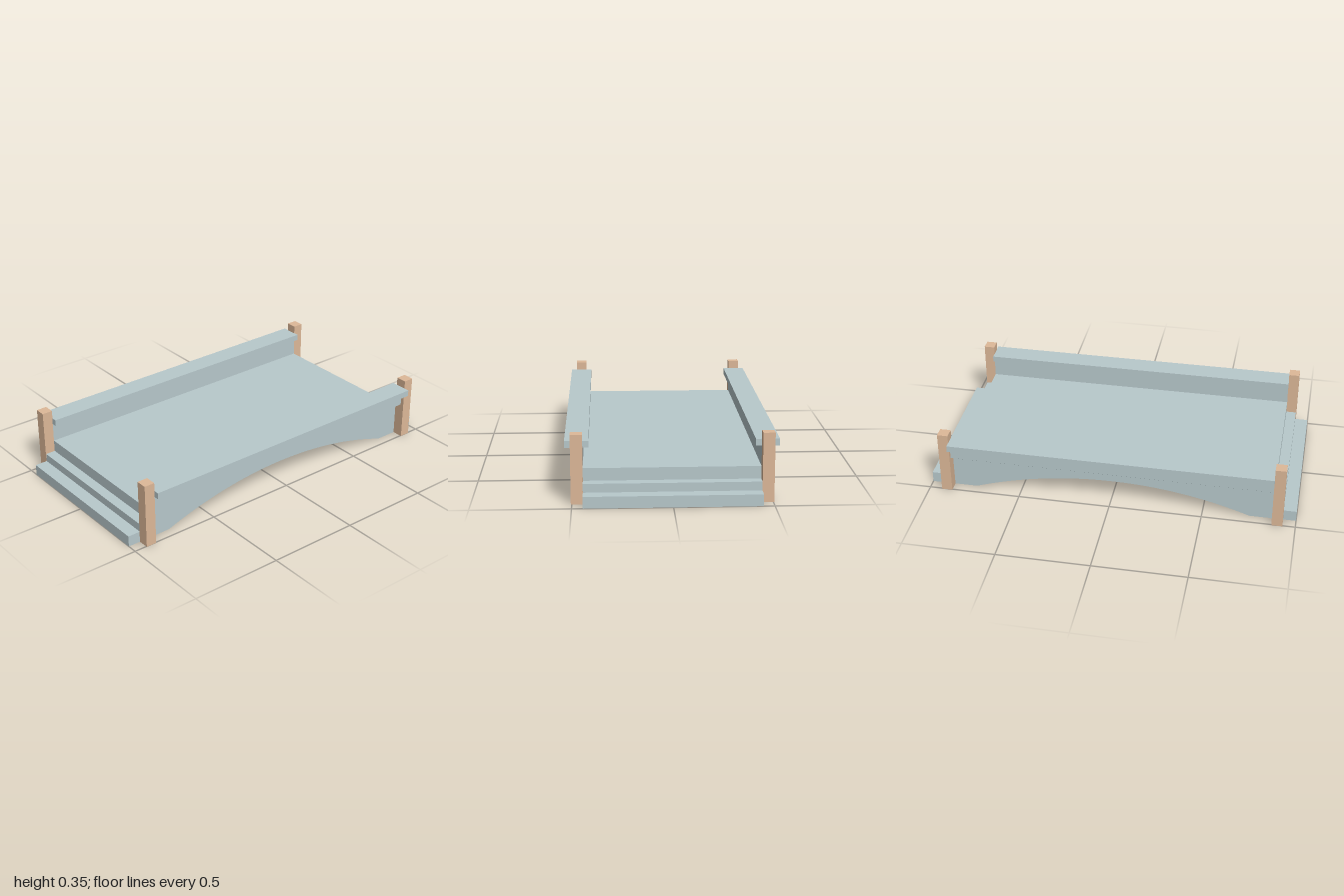
import * as THREE from 'three';

const stone = new THREE.MeshStandardMaterial({ color: 0xb8c9cc, flatShading: true });
const wood = new THREE.MeshStandardMaterial({ color: 0xdeb999, flatShading: true });

function box(name, material, size, position) {
  const mesh = new THREE.Mesh(new THREE.BoxGeometry(...size), material);
  mesh.name = name;
  mesh.position.set(...position);
  return mesh;
}

// Extrude a shape with its depth centred on z = 0
function extrude(name, shape, depth) {
  const geometry = new THREE.ExtrudeGeometry(shape, { depth, bevelEnabled: false });
  geometry.translate(0, 0, -depth / 2);
  const mesh = new THREE.Mesh(geometry, stone);
  mesh.name = name;
  return mesh;
}

export function createModel() {
  const group = new THREE.Group();
  group.name = 'footbridge';

  const halfWidth = 0.445;
  const railX = 0.875;

  // Arched span with two steps at each end, drawn as a side profile
  const halfArch = 0.75, rise = 0.13;
  const radius = (halfArch ** 2 + rise ** 2) / (2 * rise);
  const spread = Math.asin(halfArch / radius);
  const profile = [
    [1, 0], [1, 0.06], [0.93, 0.06], [0.93, 0.105], [railX, 0.105], [railX, 0.17],
    [-railX, 0.17], [-railX, 0.105], [-0.93, 0.105], [-0.93, 0.06], [-1, 0.06], [-1, 0],
  ].map(([x, y]) => new THREE.Vector2(x, y));
  const segments = 32;
  for (let i = 0; i <= segments; i++) {
    const a = spread * (2 * i / segments - 1);
    profile.push(new THREE.Vector2(radius * Math.sin(a), rise - radius * (1 - Math.cos(a))));
  }
  group.add(extrude('archedSpan', new THREE.Shape(profile), halfWidth * 2));

  for (const side of [1, -1]) {
    const label = side > 0 ? 'front' : 'back';

    // Parapet with a sloping underside that overhangs the span
    const section = new THREE.Shape([
      [halfWidth, 0.17], [0.485, 0.2], [0.485, 0.278], [halfWidth, 0.278],
    ].map(([z, y]) => new THREE.Vector2(z, y)));
    const parapet = extrude(label + 'Parapet', section, railX * 2);
    parapet.rotation.y = -side * Math.PI / 2;
    group.add(parapet);

    // Flat coping rail
    group.add(box(label + 'Rail', stone, [railX * 2, 0.035, 0.12], [0, 0.2925, side * 0.475]));

    // Corner posts
    for (const end of [1, -1]) {
      group.add(box(label + (end > 0 ? 'Left' : 'Right') + 'Post', wood,
        [0.058, 0.355, 0.06], [end * 0.903, 0.1775, side * 0.475]));
    }
  }
  return group;
}
